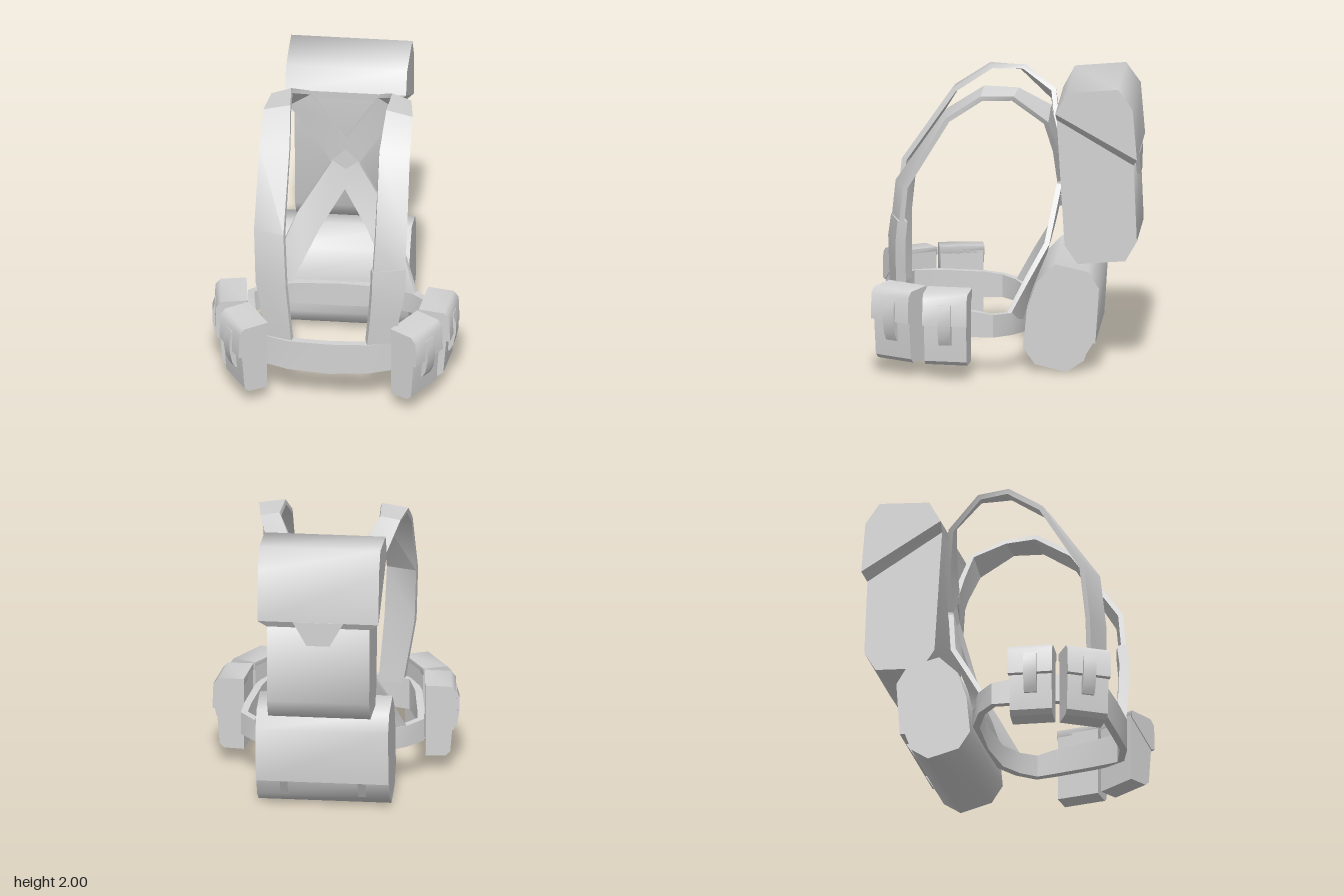
import * as THREE from 'three';
import { toCreasedNormals } from 'three/addons/utils/BufferGeometryUtils.js';

const canvas = new THREE.MeshStandardMaterial({ color: 0xd2d2d2 });
canvas.name = 'grey canvas';

function part(parent, name, geometry, crease = 0.7) {
  const mesh = new THREE.Mesh(toCreasedNormals(geometry, crease), canvas);
  mesh.name = name;
  parent.add(mesh);
  return mesh;
}

// Side profile of [z, y] points, extruded symmetrically across x
function slab(profile, width, x = 0) {
  const shape = new THREE.Shape(profile.map(p => new THREE.Vector2(...p)));
  return new THREE.ExtrudeGeometry(shape, { depth: width, bevelEnabled: false })
    .translate(0, 0, -width / 2).rotateY(-Math.PI / 2).translate(x, 0, 0);
}

// Front outline of [x, y] points, extruded from z
function plate(outline, z, depth) {
  const shape = new THREE.Shape(outline.map(p => new THREE.Vector2(...p)));
  return new THREE.ExtrudeGeometry(shape, { depth, bevelEnabled: false }).translate(0, 0, z);
}

// Skin four-cornered cross-sections, with end caps unless the path is closed
function loft(loops, closed = false) {
  const v = loops.flat(), n = loops.length, index = [];
  for (let i = 0; i < (closed ? n : n - 1); i++) {
    for (let k = 0; k < 4; k++) {
      const a = i * 4 + k, b = i * 4 + (k + 1) % 4;
      const c = ((i + 1) % n) * 4 + k, d = ((i + 1) % n) * 4 + (k + 1) % 4;
      index.push(a, b, d, a, d, c);
    }
  }
  if (!closed) {
    const e = (n - 1) * 4;
    index.push(0, 2, 1, 0, 3, 2, e, e + 1, e + 2, e, e + 2, e + 3);
  }
  // turn the faces outwards
  let volume = 0;
  for (let i = 0; i < index.length; i += 3) {
    volume += v[index[i]].dot(v[index[i + 1]].clone().cross(v[index[i + 2]]));
  }
  if (volume < 0) index.reverse();
  const g = new THREE.BufferGeometry().setFromPoints(v);
  g.setIndex(index);
  return g;
}

// Strap through stations of two edge points [x1,y1,z1, x2,y2,z2]
function ribbon(stations, thickness, closed = false) {
  const ends = stations.map(s => [new THREE.Vector3(...s.slice(0, 3)), new THREE.Vector3(...s.slice(3))]);
  const mid = ends.map(([a, b]) => a.clone().add(b).multiplyScalar(0.5));
  const n = mid.length;
  return loft(ends.map(([a, b], i) => {
    const prev = closed ? (i + n - 1) % n : Math.max(i - 1, 0);
    const next = closed ? (i + 1) % n : Math.min(i + 1, n - 1);
    const off = mid[next].clone().sub(mid[prev]).cross(b.clone().sub(a)).setLength(thickness / 2);
    return [a.clone().add(off), b.clone().add(off), b.clone().sub(off), a.clone().sub(off)];
  }), closed);
}

const mirror = (stations, s) => stations.map(p => p.map((c, i) => (i % 3 === 0 ? c * s : c)));

function upperPack() {
  const g = new THREE.Group();
  g.name = 'upperPack';
  part(g, 'packBody', slab([[-0.355, 1.77], [-0.41, 0.875], [-0.5, 0.745], [-0.83, 0.77],
    [-0.91, 0.91], [-0.885, 1.5]], 0.71), 1.1);
  part(g, 'packFlap', slab([[-0.35, 1.82], [-0.43, 1.97], [-0.785, 2], [-0.885, 1.86],
    [-0.915, 1.5]], 0.84), 1.1);
  // sloping underside of the flap
  const rim = (x, z1, y1, z2, y2) => [[-x, y1, z1], [x, y1, z1], [x, y2, z2], [-x, y2, z2]]
    .map(p => new THREE.Vector3(...p));
  part(g, 'flapRim', loft([rim(0.42, -0.35, 1.82, -0.915, 1.5), rim(0.355, -0.355, 1.765, -0.886, 1.45)]));
  part(g, 'flapTongue', plate([[-0.175, 1.5], [-0.08, 1.33], [0.08, 1.33], [0.175, 1.5]], -0.918, 0.04));
  return g;
}

function lowerPack() {
  const g = new THREE.Group();
  g.name = 'lowerPack';
  part(g, 'rollBody', slab([[-0.35, 0.765], [-0.58, 0.715], [-0.655, 0.595], [-0.63, 0.21],
    [-0.595, 0.21], [-0.55, 0.085], [-0.43, 0.003], [-0.21, 0.055], [-0.13, 0.175],
    [-0.155, 0.44], [-0.22, 0.635]], 0.92), 1.1);
  for (const s of [-1, 1]) {
    part(g, 'hemTab', slab([[-0.63, 0.215], [-0.55, 0.085], [-0.56, 0.215]], 0.05, s * 0.27));
  }
  return g;
}

// Belt pouch facing +z, its back on z = 0
function pouch() {
  const g = new THREE.Group();
  g.name = 'pouch';
  part(g, 'pouchBody', slab([[0, 0.11], [0.14, 0.11], [0.172, 0.14], [0.195, 0.42], [0.18, 0.58], [0, 0.6]], 0.295));
  part(g, 'pouchLid', slab([[0, 0.58], [0.19, 0.395], [0.222, 0.4], [0.215, 0.58], [0.18, 0.62], [0, 0.63]], 0.31), 0.9);
  part(g, 'pouchFastener', slab([[0.18, 0.55], [0.22, 0.55], [0.238, 0.49], [0.238, 0.4],
    [0.22, 0.31], [0.195, 0.26], [0.17, 0.26]], 0.09), 0.9);
  return g;
}

export function createModel() {
  const model = new THREE.Group();
  model.name = 'backpackHarness';
  model.add(upperPack(), lowerPack());

  // Hip belt: half ring of [x, z, bottom, top], mirrored into a loop
  const half = [[0, 0.785, 0.25, 0.485], [0.28, 0.775, 0.265, 0.49], [0.49, 0.7, 0.27, 0.49],
    [0.555, 0.5, 0.28, 0.48], [0.6, 0.2, 0.28, 0.46], [0.612, 0.075, 0.28, 0.44],
    [0.51, -0.035, 0.275, 0.43], [0.33, -0.12, 0.26, 0.42], [0, -0.14, 0.245, 0.42]];
  const ring = [...half, ...half.slice(1, -1).reverse().map(([x, ...r]) => [-x, ...r])];
  part(model, 'hipBelt', ribbon(ring.map(([x, z, lo, hi]) => [x, lo, z, x, hi, z]), 0.05, true), 0.5);

  // Shoulder straps run from the belt over the shoulder to the back crossing
  const shoulder = [
    [0.255, 0.45, 0.77, 0.43, 0.45, 0.715],
    [0.295, 0.92, 0.785, 0.51, 0.92, 0.72],
    [0.315, 1.31, 0.745, 0.525, 1.31, 0.68],
    [0.31, 1.81, 0.4, 0.52, 1.79, 0.39],
    [0.33, 1.98, 0.14, 0.515, 1.945, 0.155],
    [0.345, 1.975, -0.085, 0.48, 1.94, -0.06],
    [0.24, 1.84, -0.295, 0.39, 1.75, -0.285],
    [0.1, 1.61, -0.33, 0.255, 1.52, -0.34],
    [-0.03, 1.41, -0.34, 0.1, 1.27, -0.36]];
  // Lower back straps run from the crossing to the sides of the belt
  const lower = [
    [-0.06, 1.165, -0.355, 0.09, 1.27, -0.36],
    [0.163, 0.785, -0.262, 0.325, 0.88, -0.285],
    [0.27, 0.58, -0.175, 0.43, 0.66, -0.16],
    [0.38, 0.36, -0.112, 0.53, 0.4, -0.02]];
  for (const s of [-1, 1]) {
    part(model, 'shoulderStrap', ribbon(mirror(shoulder, s), 0.036), 0.5);
    part(model, 'lowerBackStrap', ribbon(mirror(lower, s), 0.036), 0.5);

    // Two pouches on each side of the belt
    for (const [x, z, turn] of [[0.612, 0.365, 1.457], [0.505, 0.665, 1.03]]) {
      const p = pouch();
      p.position.set(s * x, 0, z);
      p.rotation.y = s * turn;
      model.add(p);
    }
  }
  part(model, 'strapCrossing', plate([[0, 1.43], [-0.1, 1.28], [-0.1, 1.25], [0, 1.075],
    [0.1, 1.25], [0.1, 1.28]], -0.378, 0.036));

  // Thick pad around the left shoulder strap
  part(model, 'strapPad', ribbon([
    [0.292, 1.07, 0.76, 0.52, 1.07, 0.7],
    [0.29, 0.92, 0.78, 0.515, 0.92, 0.715],
    [0.275, 0.7, 0.775, 0.475, 0.7, 0.715],
    [0.255, 0.49, 0.765, 0.445, 0.49, 0.71]], 0.07));
  return model;
}
